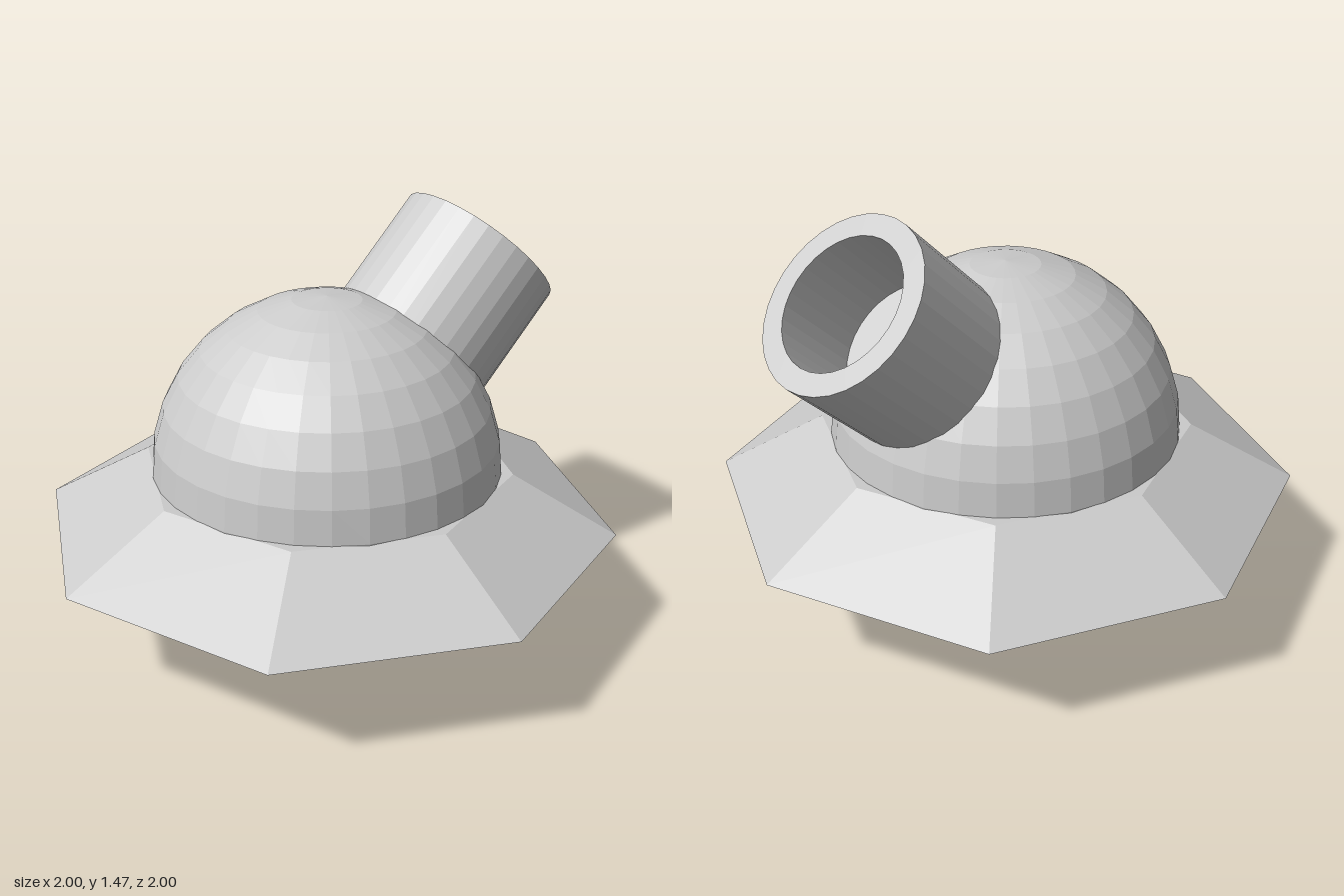
import * as THREE from 'three';

export function createModel() {
  const model = new THREE.Group();
  const material = new THREE.MeshStandardMaterial({ color: 0xcccccc, flatShading: true });

  const add = (name, geometry, y) => {
    const mesh = new THREE.Mesh(geometry, material);
    mesh.name = name;
    mesh.position.y = y;
    model.add(mesh);
    return mesh;
  };

  // Round body resting on the ground
  add('body', new THREE.SphereGeometry(0.6, 32, 16), 0.6);

  // Eight-sided sloping skirt around the body
  add('skirt', new THREE.CylinderGeometry(0.64, 1, 0.2, 8), 0.5);

  // Hollow spout with a flat floor, profile measured from the body's centre
  const profile = [
    [0, 0.3], [0.3, 0.3], [0.3, 0.925], [0.225, 0.925], [0.225, 0.605], [0, 0.605],
  ].map(([r, h]) => new THREE.Vector2(r, h));
  const spout = add('spout', new THREE.LatheGeometry(profile, 32), 0.6);
  spout.rotation.z = -Math.PI / 4;

  return model;
}
